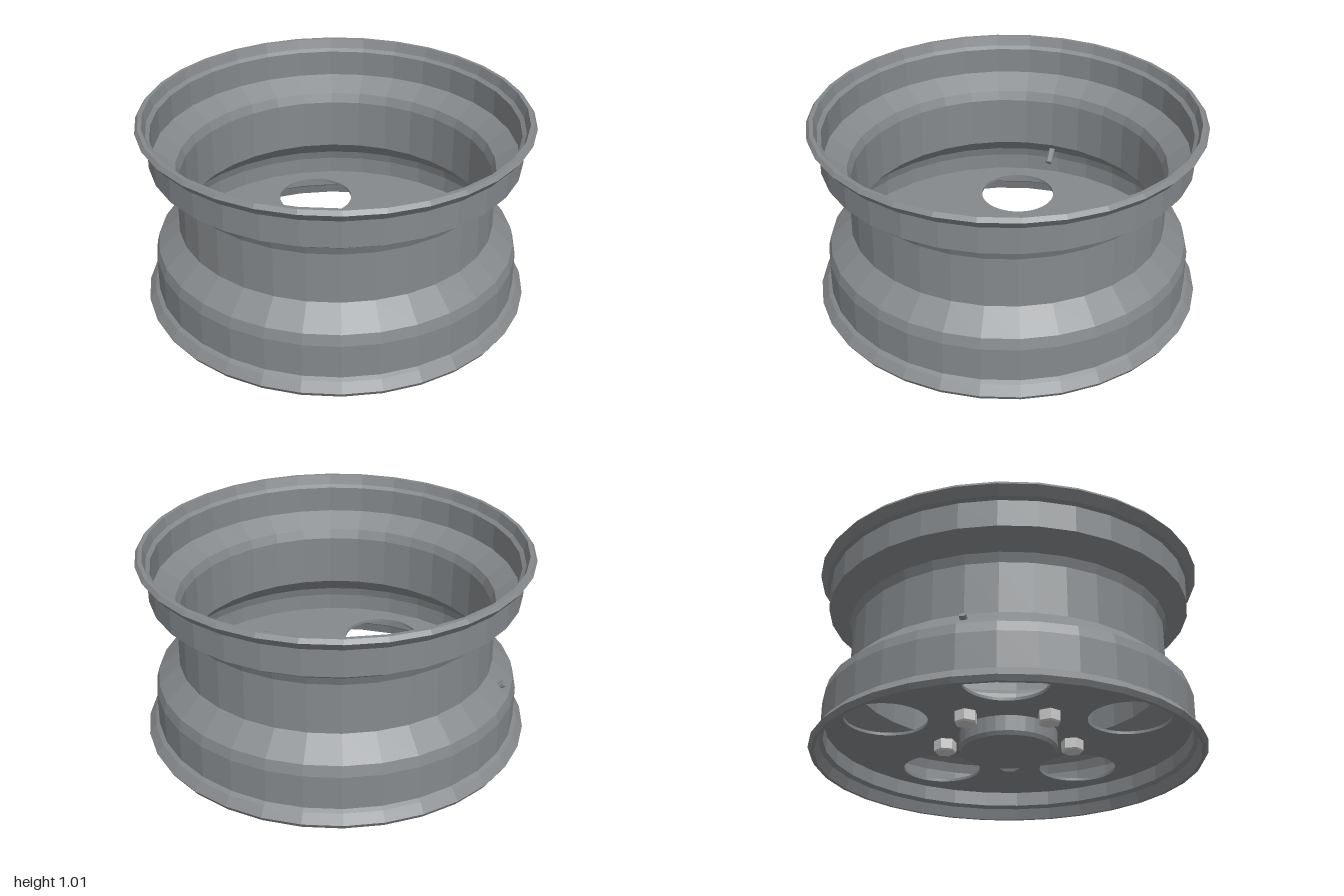
import * as THREE from 'three';

const SIDES = 32;
const metal = new THREE.MeshStandardMaterial({ name: 'grey steel', color: 0x85898c });
const bright = new THREE.MeshStandardMaterial({ name: 'bright zinc', color: 0xc8c9c8 });

// Gives a geometry one normal per face, for crisp facets
function faceted(geometry) {
  const g = geometry.index ? geometry.toNonIndexed() : geometry;
  g.computeVertexNormals();
  return g;
}

function turned(profile, sides) {
  return faceted(new THREE.LatheGeometry(profile.map(([r, y]) => new THREE.Vector2(r, y)), sides));
}

function addMesh(parent, name, geometry, material) {
  const mesh = new THREE.Mesh(geometry, material);
  mesh.name = name;
  parent.add(mesh);
  return mesh;
}

export function createModel() {
  const wheel = new THREE.Group();
  wheel.name = 'wheelRim';

  // Barrel: outer skin upwards, inner skin back down
  const outer = [
    [0.985, 0], [1, 0.025], [0.965, 0.07], [0.945, 0.082], [0.945, 0.26], [0.93, 0.315],
    [0.818, 0.418], [0.815, 0.68], [0.833, 0.725], [0.945, 0.797], [0.945, 0.935],
    [0.965, 0.945], [1, 0.99], [0.985, 1.01],
  ];
  const inner = [
    [0.965, 1.01], [0.95, 0.96], [0.93, 0.945], [0.93, 0.805], [0.818, 0.735], [0.8, 0.685],
    [0.8, 0.412], [0.915, 0.307], [0.93, 0.257], [0.93, 0.072], [0.95, 0.057], [0.968, 0],
  ];
  addMesh(wheel, 'barrel', turned([...outer, ...inner, outer[0]], SIDES), metal);

  // Flat disc with five round openings
  const disc = new THREE.Shape();
  disc.absarc(0, 0, 0.937, 0, Math.PI * 2);
  for (let i = 0; i < 5; i++) {
    const a = (i * Math.PI * 2) / 5;
    const hole = new THREE.Path();
    hole.absarc(0.633 * Math.cos(a), 0.633 * Math.sin(a), 0.208, 0, Math.PI * 2, true);
    disc.holes.push(hole);
  }
  const plate = new THREE.ExtrudeGeometry(disc, { depth: 0.015, bevelEnabled: false, curveSegments: SIDES });
  plate.rotateX(-Math.PI / 2).translate(0, 0.15, 0);
  addMesh(wheel, 'disc', faceted(plate), metal);

  // Hub cap on the underside
  addMesh(wheel, 'hubCap', turned([[0, 0.05], [0.24, 0.05], [0.25, 0.07], [0.25, 0.152]], SIDES), metal);

  // Hexagonal wheel nuts between the openings
  const nut = turned([[0, 0.088], [0.05, 0.088], [0.058, 0.097], [0.058, 0.152]], 6);
  for (let i = 0; i < 5; i++) {
    const a = ((i + 0.5) * Math.PI * 2) / 5;
    const mesh = addMesh(wheel, 'wheelNut', nut, bright);
    mesh.position.set(0.345 * Math.cos(a), 0, 0.345 * Math.sin(a));
    mesh.rotation.y = -a;
  }

  // Small valve stem through the lower shoulder
  const valve = addMesh(wheel, 'valveStem', faceted(new THREE.CylinderGeometry(0.018, 0.018, 0.13, 8)), metal);
  const outward = new THREE.Vector3(-0.73, 0.6, 0.32).normalize();
  valve.position.set(-0.82, 0.37, 0.36).addScaledVector(outward, -0.06);
  valve.quaternion.setFromUnitVectors(new THREE.Vector3(0, 1, 0), outward);

  return wheel;
}
